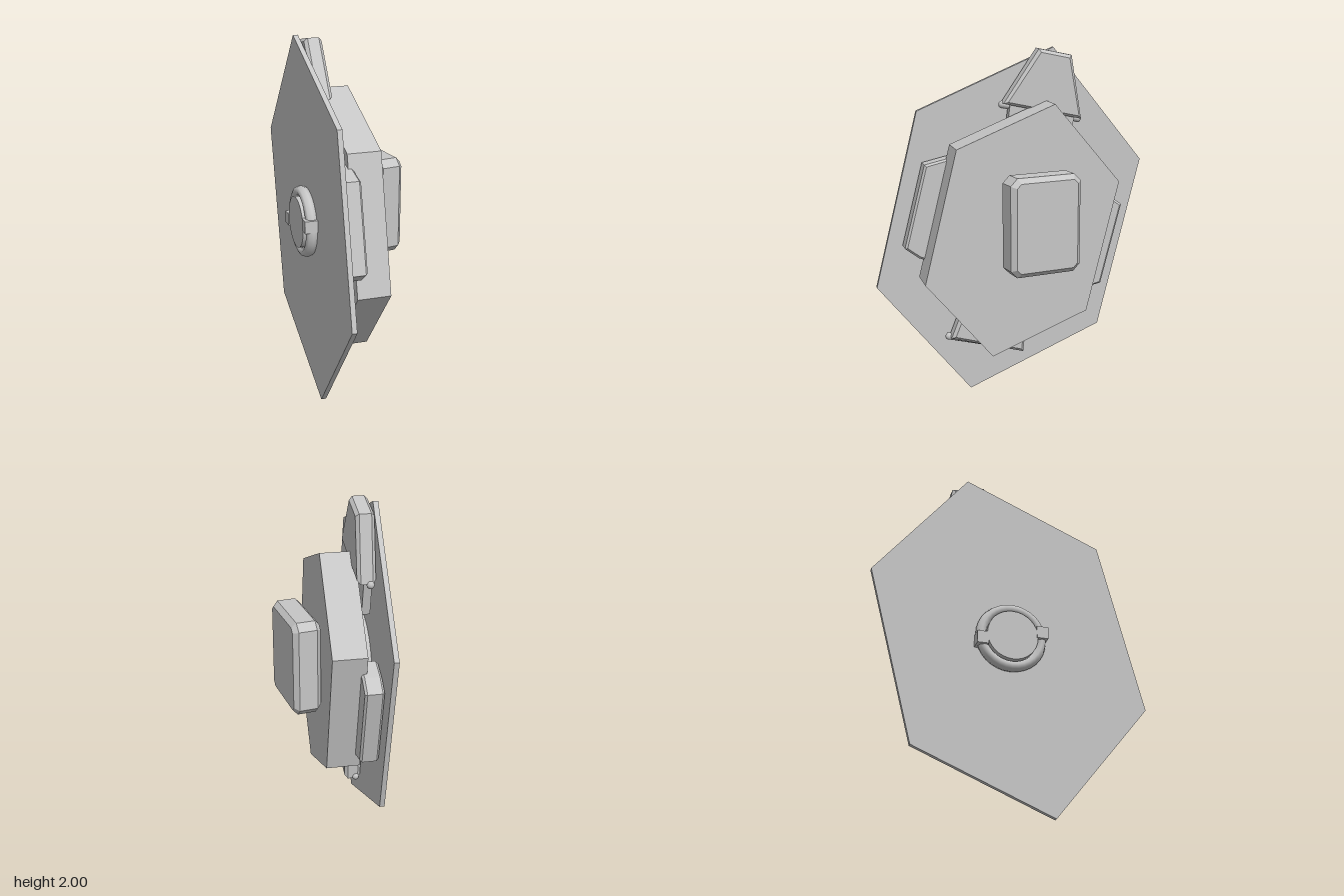
import * as THREE from 'three';

const grey = new THREE.MeshStandardMaterial({ color: 0xc6c6c6 });
grey.name = 'lightGrey';

// Slab with an outline of [z, y] points, filling x0..x1, optionally chamfered.
function slab(name, points, x0, x1, chamfer = 0) {
  const shape = new THREE.Shape(points.map(([z, y]) => new THREE.Vector2(-z, y)));
  const geometry = new THREE.ExtrudeGeometry(shape, {
    depth: x1 - x0 - 2 * chamfer,
    bevelEnabled: chamfer > 0,
    bevelThickness: chamfer,
    bevelSize: chamfer,
    bevelOffset: -chamfer,
    bevelSegments: 1,
  });
  geometry.rotateY(Math.PI / 2).translate(x0 + chamfer, 1, 0);
  return part(name, geometry);
}

function part(name, geometry) {
  const mesh = new THREE.Mesh(geometry, grey);
  mesh.name = name;
  return mesh;
}

// Disc whose axis runs along x.
function disc(name, radius, x0, x1, y, sides = 32) {
  const geometry = new THREE.CylinderGeometry(radius, radius, x1 - x0, sides);
  geometry.rotateZ(-Math.PI / 2).translate((x0 + x1) / 2, y, 0);
  return part(name, geometry);
}

// Round bar between two [z, y] points at depth x.
function bar(name, a, b, x, radius) {
  const curve = new THREE.LineCurve3(
    new THREE.Vector3(x, 1 + a[1], a[0]), new THREE.Vector3(x, 1 + b[1], b[0]));
  const group = new THREE.Group();
  group.name = name;
  group.add(part('barShaft', new THREE.TubeGeometry(curve, 1, radius, 8)));
  for (const [z, y] of [a, b]) {
    const knob = new THREE.SphereGeometry(radius * 1.1, 8, 6);
    group.add(part('barKnob', knob.translate(x, 1 + y, z)));
  }
  return group;
}

const mirrored = (points) => points.map(([z, y]) => [-z, -y]);
const hexagon = (half) => [...half, ...mirrored(half)];

export function createModel() {
  const model = new THREE.Group();
  model.name = 'layeredPanel';

  // Tilted stack of panels
  const stack = new THREE.Group();
  stack.name = 'tiltedStack';
  stack.rotation.y = -0.169;
  stack.position.set(-0.005, 0, 0.03);
  model.add(stack);

  stack.add(slab('backPlate', hexagon([[0.25, -1], [0.79, -0.335], [0.54, 0.665]]), -0.178, -0.15));
  stack.add(slab('mainBlock', hexagon([[0.18, -0.712], [0.56, -0.262], [0.375, 0.485]]), -0.07, 0.118));
  stack.add(disc('blockCore', 0.3, -0.16, -0.06, 1, 24));

  // Pads between the plate and the block
  const side = [[0.52, 0.38], [0.3, 0.43], [0.45, -0.19], [0.56, -0.15], [0.64, -0.09]];
  stack.add(slab('frontPad', side, -0.145, -0.04, 0.012));
  stack.add(slab('rearPad', mirrored(side), -0.145, -0.04, 0.012));
  stack.add(slab('topPad', [[-0.14, 1], [0.065, 0.7], [-0.39, 0.6], [-0.33, 0.96]], -0.145, -0.045, 0.018));
  stack.add(slab('bottomPad', [[0.38, -0.65], [0.3, -0.45], [-0.08, -0.5], [-0.05, -0.77]], -0.145, -0.05, 0.018));

  // Hinge bars and the tongues that carry the upper and lower pads
  stack.add(bar('topHinge', [0.06, 0.69], [-0.385, 0.595], -0.115, 0.02));
  stack.add(bar('bottomHinge', [0.385, -0.65], [-0.045, -0.76], -0.115, 0.02));
  stack.add(slab('topTongue', [[0.02, 0.7], [0.06, 0.4], [-0.31, 0.4], [-0.36, 0.62]], -0.13, -0.085));
  stack.add(slab('bottomTongue', [[0.32, -0.64], [0.3, -0.25], [-0.05, -0.25], [-0.03, -0.72]], -0.14, -0.1));

  // Round boss with a clamped ring on the back
  stack.add(disc('rearBoss', 0.145, -0.245, -0.17, 1));
  const ring = new THREE.TorusGeometry(0.172, 0.03, 8, 32);
  ring.scale(1, 1, 1.2).rotateY(Math.PI / 2).translate(-0.2, 1, 0);
  stack.add(part('rearRing', ring));
  for (const s of [-1, 1]) {
    const clamp = new THREE.BoxGeometry(0.08, 0.07, 0.065);
    stack.add(part('rearClamp', clamp.translate(-0.21, 1 + 0.035 * s, 0.17 * s)));
  }

  // Upright front box on its mount
  const box = [[0.17, -0.275], [0.21, -0.235], [0.21, 0.235], [0.17, 0.275]];
  const frontBox = slab('frontBox', hexagon(box), 0.157, 0.315, 0.027);
  frontBox.position.y = 0.075;
  model.add(frontBox);
  model.add(disc('boxMount', 0.14, 0.06, 0.165, 1.075, 12));
  for (const y of [0.95, 1.21]) {
    const pin = new THREE.BoxGeometry(0.045, 0.055, 0.26);
    model.add(part('mountPin', pin.translate(0.137, y, 0.02)));
  }
  return model;
}
